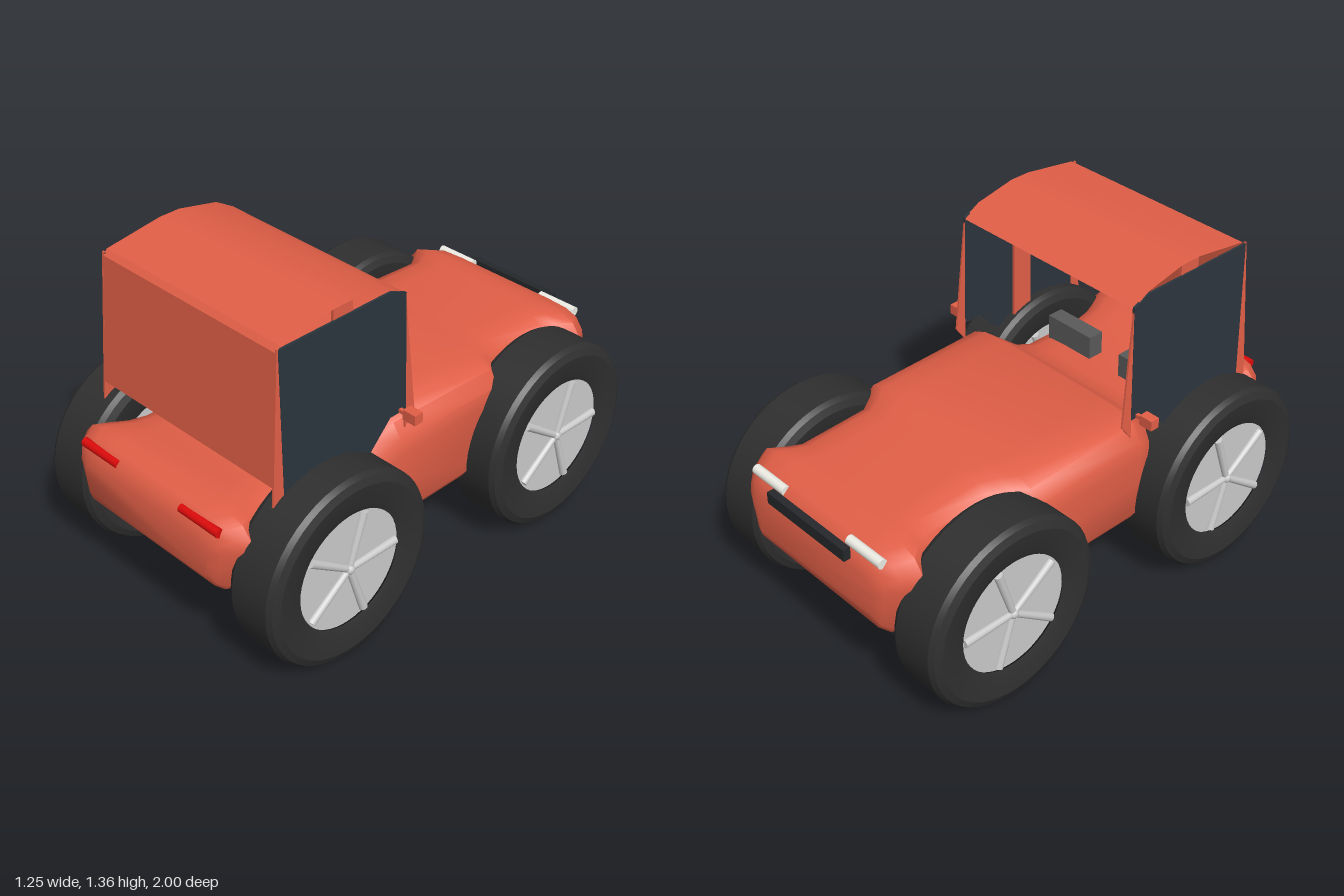
import * as THREE from 'three';
import { toCreasedNormals } from 'three/addons/utils/BufferGeometryUtils.js';

const mat = (color, side = THREE.FrontSide) => new THREE.MeshStandardMaterial({ color, side });
const paint = mat(0xe25f47);
const paintSheet = mat(0xe25f47, THREE.DoubleSide);
const rubber = mat(0x2f2f2f);
const metal = mat(0xcccccc);
const glass = mat(0x2c353d);
const seatGrey = mat(0x5a5a5a);
const black = mat(0x25282b);
const red = mat(0xdd0a0a);
const white = mat(0xeeeee6);

function add(parent, name, geometry, material, x = 0, y = 0, z = 0) {
  const mesh = new THREE.Mesh(geometry, material);
  mesh.name = name;
  mesh.position.set(x, y, z);
  parent.add(mesh);
  return mesh;
}

// Body stations from tail to nose: z, top, bottom, half width, half width at the sill
const STATIONS = [
  [1.0, 0.59, 0.44, 0.34, 0.33], [0.98, 0.64, 0.40, 0.39, 0.36],
  [0.95, 0.67, 0.375, 0.425, 0.38], [0.9, 0.68, 0.36, 0.46, 0.39],
  [0.85, 0.68, 0.35, 0.43, 0.39], [0.78, 0.67, 0.34, 0.395, 0.39],
  [0.7, 0.655, 0.33, 0.39, 0.39], [0.42, 0.655, 0.32, 0.39, 0.39],
  [0.34, 0.675, 0.32, 0.42, 0.41], [0.27, 0.725, 0.32, 0.47, 0.46],
  [0.2, 0.78, 0.32, 0.49, 0.48], [-0.33, 0.763, 0.32, 0.49, 0.48],
  [-0.38, 0.757, 0.32, 0.44, 0.43], [-0.45, 0.752, 0.32, 0.39, 0.39],
  [-0.74, 0.735, 0.33, 0.39, 0.39], [-0.79, 0.733, 0.345, 0.42, 0.39],
  [-0.85, 0.73, 0.35, 0.47, 0.39], [-0.92, 0.71, 0.365, 0.43, 0.38],
  [-0.96, 0.675, 0.40, 0.39, 0.36], [-0.98, 0.62, 0.45, 0.35, 0.33],
];

function bodyGeometry() {
  const positions = [], index = [];
  let n = 0;
  for (const [z, top, bot, w, wb] of STATIONS) {
    const h = top - bot;
    const half = [
      [wb * 0.95, bot], [wb, bot + h * 0.08], [wb + (w - wb) * 0.5, bot + h * 0.4],
      [w, bot + h * 0.66], [w * 0.98, bot + h * 0.8], [w * 0.9, bot + h * 0.93],
      [w * 0.77, bot + h * 0.985], [w * 0.55, top],
    ];
    const ring = [...half, ...half.map(([x, y]) => [-x, y]).reverse()];
    n = ring.length;
    for (const [x, y] of ring) positions.push(x, y, z);
  }
  for (let i = 0; i < STATIONS.length - 1; i++) {
    for (let j = 0; j < n; j++) {
      const a = i * n + j, b = i * n + (j + 1) % n;
      index.push(a, a + n, b, b, a + n, b + n);
    }
  }
  const last = (STATIONS.length - 1) * n;
  for (let j = 1; j < n - 1; j++) {
    index.push(0, j, j + 1, last, last + j + 1, last + j);
  }
  const g = new THREE.BufferGeometry();
  g.setAttribute('position', new THREE.Float32BufferAttribute(positions, 3));
  g.setIndex(index);
  return toCreasedNormals(g, 0.8);
}

// Thin upright side panel from (z, y) corners, leaning inwards with height
function sidePanel(points, side, thickness) {
  const shape = new THREE.Shape(points.map(([z, y]) => new THREE.Vector2(z, y)));
  const g = new THREE.ExtrudeGeometry(shape, { depth: thickness, bevelEnabled: false });
  g.rotateY(-Math.PI / 2);
  const p = g.attributes.position;
  for (let i = 0; i < p.count; i++) {
    p.setX(i, p.getX(i) + thickness / 2 + side * (0.46 - (p.getY(i) - 0.73) * 0.02));
  }
  g.computeVertexNormals();
  return g;
}

// Sheet running across the cab along a (z, y) profile
function roofGeometry() {
  const profile = [[0.16, 1.275], [0.235, 1.318], [0.41, 1.355], [0.5, 1.355],
    [0.74, 1.32], [0.76, 1.3], [0.8, 0.785]];
  const g = new THREE.PlaneGeometry(1, 1, 1, profile.length - 1);
  const p = g.attributes.position;
  for (let i = 0; i < p.count; i++) {
    const [z, y] = profile[Math.floor(i / 2)];
    p.setXYZ(i, (i % 2 ? 1 : -1) * (0.457 - (y - 0.785) * 0.015), y, z);
  }
  return toCreasedNormals(g, 0.5);
}

function wheel(name) {
  const group = new THREE.Group();
  group.name = name;
  // Tyre
  const half = [[0.24, 0.098], [0.27, 0.11], [0.35, 0.118], [0.378, 0.105], [0.39, 0.085]];
  const profile = [...half.map(([r, x]) => [r, -x]), ...half.slice().reverse()]
    .map(([r, x]) => new THREE.Vector2(r, x));
  const tyre = toCreasedNormals(new THREE.LatheGeometry(profile, 48), 0.5);
  add(group, 'tyre', tyre.rotateZ(Math.PI / 2), rubber);
  // Rim disc with five spokes on each face
  add(group, 'rim', new THREE.CylinderGeometry(0.243, 0.243, 0.18, 48).rotateZ(Math.PI / 2), metal);
  for (const face of [-1, 1]) {
    add(group, 'hub', new THREE.SphereGeometry(0.022, 12, 8), metal, face * 0.092);
    for (let i = 0; i < 5; i++) {
      const spoke = new THREE.CylinderGeometry(0.018, 0.014, 0.23, 10);
      spoke.translate(0, 0.115, 0).rotateX(-Math.PI / 2 + i * Math.PI * 0.4);
      add(group, 'spoke', spoke, metal, face * 0.092);
    }
  }
  return group;
}

export function createModel() {
  const model = new THREE.Group();
  model.name = 'openVehicle';

  add(model, 'body', bodyGeometry(), paint);
  add(model, 'roofAndRearPanel', roofGeometry(), paintSheet);

  for (const side of [-1, 1]) {
    // Wheels
    for (const [name, z] of [['tailWheel', 0.58], ['noseWheel', -0.56]]) {
      const w = wheel(name);
      w.position.set(side * 0.507, 0.39, z);
      model.add(w);
    }

    // Cab side: glass, corner pillars and centre pillar
    add(model, 'sideWindow', sidePanel([[0.755, 0.7], [0.755, 1.31], [0.235, 1.31],
      [0.16, 1.28], [0.16, 0.8], [0.24, 0.8], [0.31, 0.73], [0.34, 0.7]], side, 0.01), glass);
    add(model, 'windscreenPillar', sidePanel([[0.162, 1.28], [0.115, 0.785], [0.162, 0.72]], side, 0.008), paint);
    add(model, 'rearPillar', sidePanel([[0.753, 1.315], [0.753, 0.7], [0.806, 0.7], [0.76, 1.315]], side, 0.008), paint);
    add(model, 'centrePillar', new THREE.BoxGeometry(0.012, 0.7, 0.09), paint, side * 0.439, 1.002, 0.455);

    // Mirror on a short stalk
    add(model, 'mirror', new THREE.BoxGeometry(0.06, 0.042, 0.04), paint, side * 0.525, 0.815, 0.19);
    add(model, 'mirrorStalk', new THREE.BoxGeometry(0.05, 0.015, 0.015), paint, side * 0.48, 0.81, 0.19);

    // Seat back
    add(model, 'seat', new THREE.BoxGeometry(0.235, 0.15, 0.07), seatGrey, side * 0.198, 0.68, 0.53);

    // Lamps
    const tail = new THREE.CylinderGeometry(0.018, 0.018, 0.2, 16).rotateZ(Math.PI / 2);
    add(model, 'tailLamp', tail, red, side * 0.272, 0.638, 0.968);
    const head = new THREE.CylinderGeometry(0.02, 0.02, 0.18, 16).rotateZ(Math.PI / 2);
    add(model, 'headLamp', head, white, side * 0.272, 0.69, -0.94);
  }

  // Nose bar and lower trim strips
  add(model, 'noseBar', new THREE.BoxGeometry(0.44, 0.05, 0.03), black, 0, 0.67, -0.983);
  for (const z of [-0.88, 0.88]) {
    add(model, 'lowerTrim', new THREE.BoxGeometry(0.76, 0.025, 0.06), black, 0, 0.357, z);
  }
  return model;
}
